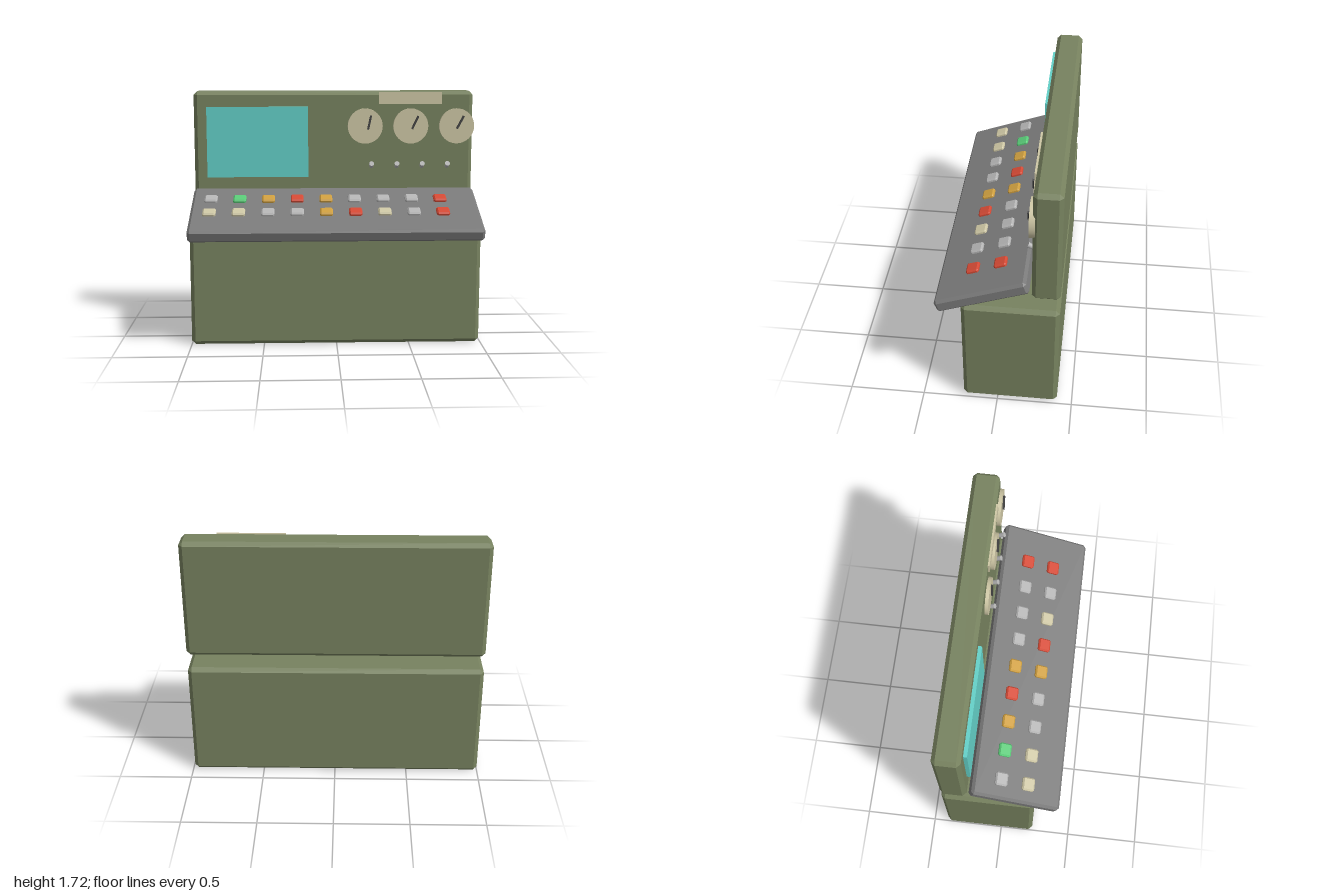
import * as THREE from 'three';
import { ConvexGeometry } from 'three/addons/geometries/ConvexGeometry.js';

const paint = (name, color) => {
  const m = new THREE.MeshStandardMaterial({ color });
  m.name = name;
  return m;
};

// Box with every edge cut at 45 degrees
function chamferBox(w, h, d, c) {
  const pts = [];
  for (const x of [-1, 1]) for (const y of [-1, 1]) for (const z of [-1, 1]) {
    for (let axis = 0; axis < 3; axis++) {
      const k = [c, c, c];
      k[axis] = 0;
      pts.push(new THREE.Vector3(x * (w / 2 - k[0]), y * (h / 2 - k[1]), z * (d / 2 - k[2])));
    }
  }
  return new ConvexGeometry(pts);
}

export function createModel() {
  const olive = paint('olive cabinet', 0x77825f);
  const deckGrey = paint('deck grey', 0x7b7b7b);
  const teal = paint('teal screen', 0x63d0c8);
  const cream = paint('cream', 0xcec7a5);
  const silver = paint('silver grey', 0xb5b5b5);
  const green = paint('green', 0x5acb78);
  const amber = paint('amber', 0xd0a040);
  const red = paint('red', 0xd64a35);
  const dark = paint('dark needle', 0x444444);

  const model = new THREE.Group();
  model.name = 'controlConsole';
  const add = (name, geometry, material, x, y, z, parent = model) => {
    const mesh = new THREE.Mesh(geometry, material);
    mesh.name = name;
    mesh.position.set(x, y, z);
    parent.add(mesh);
    return mesh;
  };

  // Cabinets
  const width = 1.99, midX = -0.005;
  add('lowerCabinet', chamferBox(width, 0.812, 0.63, 0.026), olive, midX, 0.406, -0.085);
  add('upperCabinet', chamferBox(width, 0.81, 0.18, 0.026), olive, midX, 1.315, -0.31);

  // Sloping deck, tilted down to the front
  const deck = new THREE.Group();
  deck.name = 'controlDeck';
  deck.position.set(0, 0.89, 0.0975);
  deck.rotation.x = THREE.MathUtils.degToRad(20);
  model.add(deck);
  add('deckSlab', chamferBox(width, 0.092, 0.624, 0.018), deckGrey, midX, 0, 0, deck);

  // Two rows of push buttons
  const button = chamferBox(0.09, 0.032, 0.086, 0.01);
  const rows = [
    { z: -0.123, colours: [silver, green, amber, red, amber, silver, silver, silver, red] },
    { z: 0.068, colours: [cream, cream, silver, silver, amber, red, cream, silver, red] },
  ];
  for (const { z, colours } of rows) {
    colours.forEach((colour, i) => add('button', button, colour, -0.868 + i * 0.2, 0.052, z, deck));
  }

  // Screen and nameplate
  add('screen', new THREE.BoxGeometry(0.72, 0.5, 0.03), teal, -0.548, 1.361, -0.21);
  add('nameplate', new THREE.BoxGeometry(0.448, 0.086, 0.012), cream, 0.541, 1.672, -0.215);

  // Round dials with needles
  const dial = new THREE.CylinderGeometry(0.125, 0.125, 0.038, 32).rotateX(Math.PI / 2);
  const needle = new THREE.BoxGeometry(0.014, 0.102, 0.02);
  for (const [x, nx, angle] of [[0.219, 0.249, 12], [0.545, 0.575, 25], [0.874, 0.898, 28]]) {
    add('dial', dial, cream, x, 1.473, -0.216);
    add('needle', needle, dark, nx, 1.499, -0.193).rotation.z = -THREE.MathUtils.degToRad(angle);
  }

  // Toggle switches leaning up and out
  const toggle = new THREE.CylinderGeometry(0.018, 0.013, 0.07, 12);
  for (let i = 0; i < 4; i++) {
    add('toggle', toggle, silver, 0.265 + i * 0.1815, 1.191, -0.209).rotation.x = THREE.MathUtils.degToRad(62);
  }

  return model;
}
